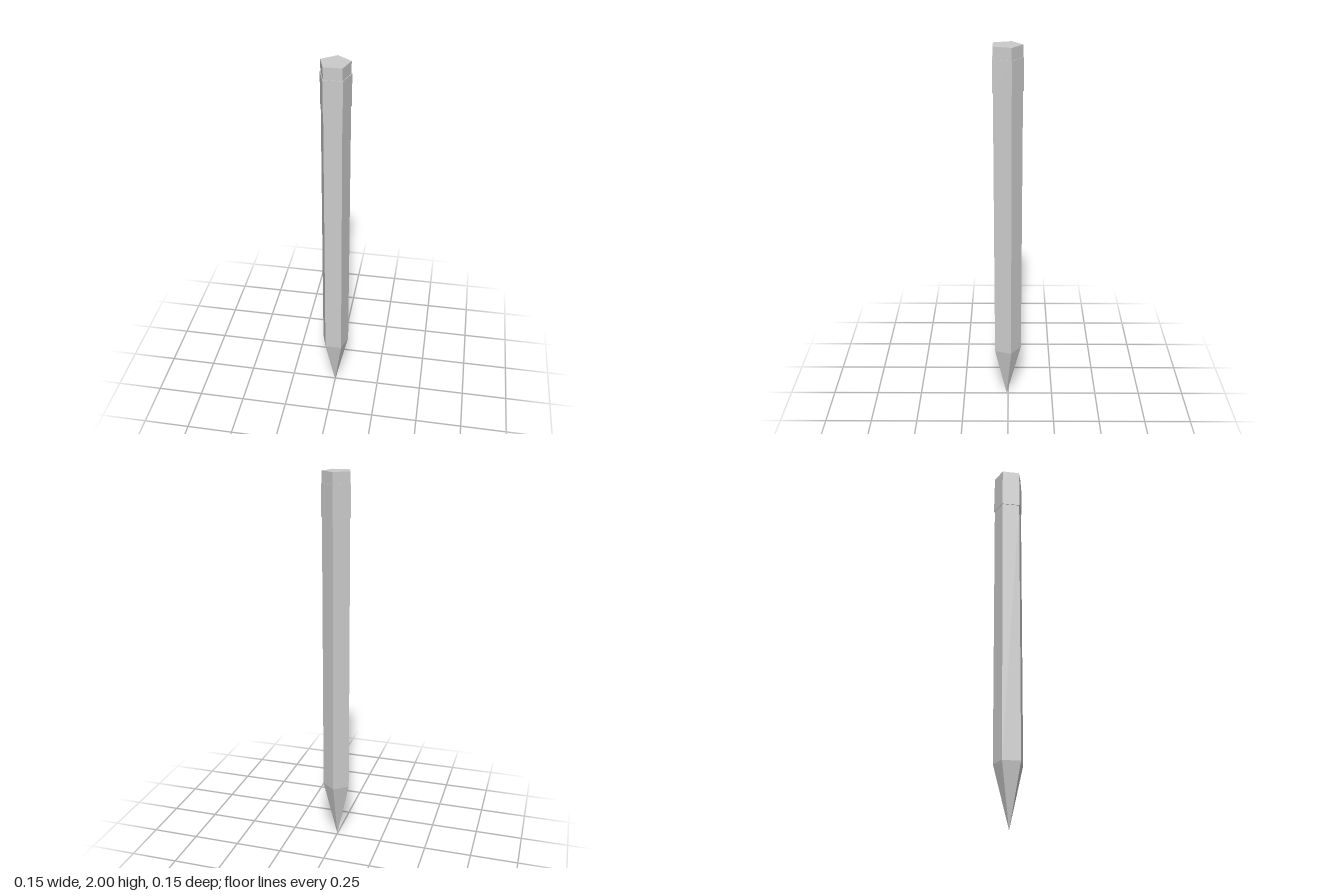
import * as THREE from 'three';

const SIDES = 5;

export function createModel() {
  const model = new THREE.Group();
  const material = new THREE.MeshStandardMaterial({ color: 0xcccccc, flatShading: true });

  // Five-sided section with one corner pointing back, slightly deeper than wide
  function addPrism(name, topRadius, bottomRadius, yBottom, yTop, openEnded = false) {
    const height = yTop - yBottom;
    const geometry = new THREE.CylinderGeometry(
      topRadius, bottomRadius, height, SIDES, 1, openEnded, Math.PI);
    geometry.scale(1, 1, 1.05);
    geometry.translate(0, yBottom + height / 2, 0.008);
    const mesh = new THREE.Mesh(geometry, material);
    mesh.name = name;
    model.add(mesh);
  }

  // Sharpened point
  addPrism('point', 0.0755, 0, 0, 0.32, true);
  // Long shaft
  addPrism('shaft', 0.0755, 0.0755, 0.32, 1.78, true);
  // Slightly wider band near the top
  addPrism('band', 0.079, 0.079, 1.78, 1.94);
  // End cap above the band
  addPrism('endCap', 0.0755, 0.0755, 1.94, 2);

  return model;
}
